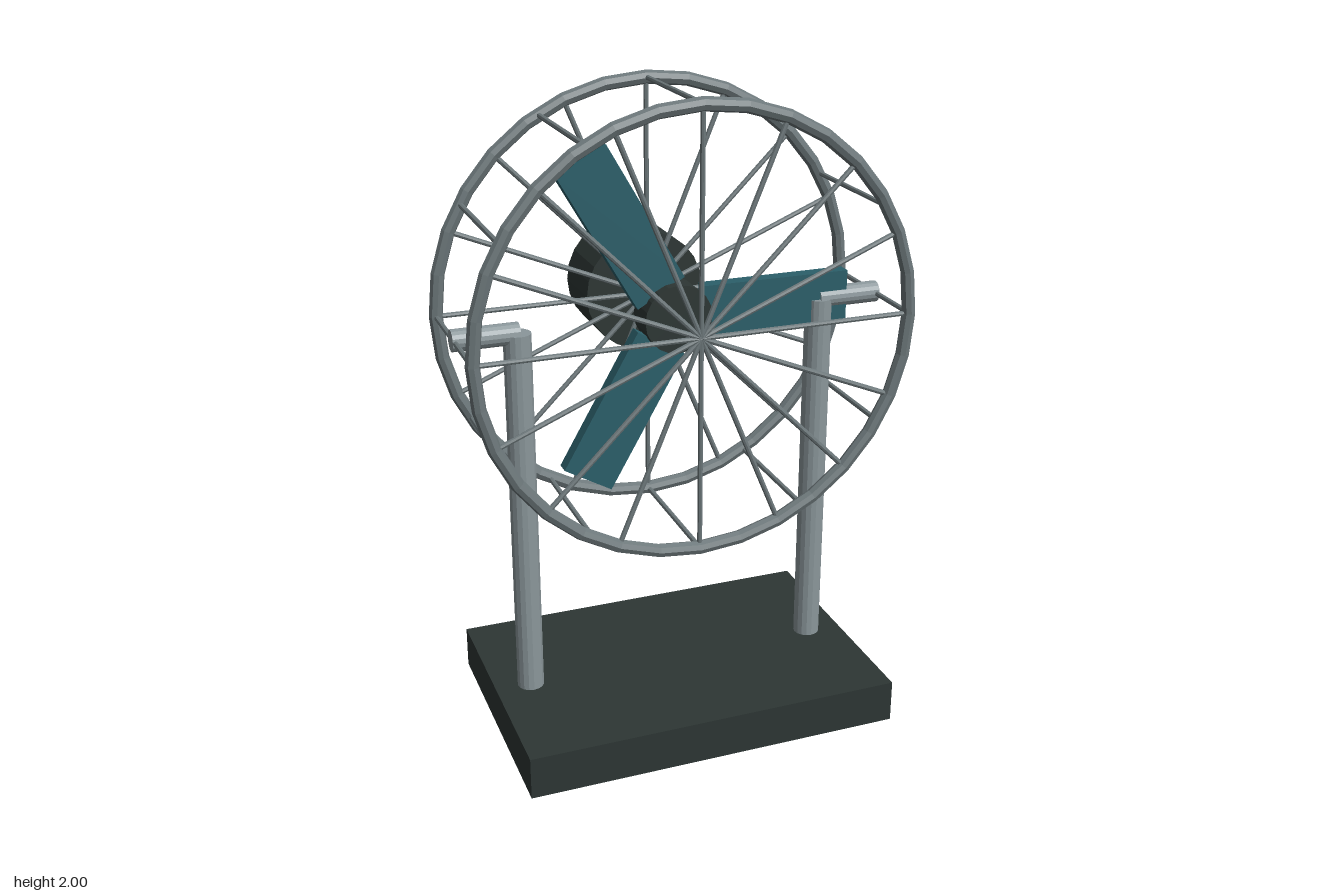
import * as THREE from 'three';

const HUB_Y = 1.31, MID_Z = 0.03, RING_R = 0.668, RING_GAP = 0.23;

function material(name, color) {
  const m = new THREE.MeshStandardMaterial({ color, flatShading: true });
  m.name = name;
  return m;
}

export function createModel() {
  const dark = material('dark housing', 0x2d3634);
  const steel = material('light steel', 0x8b979b);
  const wire = material('grey wire', 0x6c777a);
  const teal = material('teal blade', 0x2b5f6a);

  const model = new THREE.Group();
  model.name = 'cageFan';

  function add(parent, name, geometry, mat, x = 0, y = 0, z = 0) {
    const mesh = new THREE.Mesh(geometry, mat);
    mesh.name = name;
    mesh.position.set(x, y, z);
    parent.add(mesh);
    return mesh;
  }
  const rod = (r, length, sides) => new THREE.CylinderGeometry(r, r, length, sides);

  // Base and the two upright posts with their side pins
  add(model, 'base', new THREE.BoxGeometry(1.19, 0.135, 0.8), dark, 0, 0.0675, MID_Z);
  for (const s of [-1, 1]) {
    const side = s > 0 ? 'left' : 'right';
    add(model, side + 'Post', rod(0.042, HUB_Y - 0.13, 16), steel, s * 0.481, (HUB_Y + 0.13) / 2, MID_Z);
    add(model, side + 'Pin', rod(0.033, 0.2, 16).rotateZ(Math.PI / 2), steel, s * 0.576, HUB_Y, MID_Z);
  }

  // Everything turning about the z axis sits in one group at the hub
  const head = new THREE.Group();
  head.name = 'fanHead';
  head.position.set(0, HUB_Y, MID_Z);
  model.add(head);

  // Motor, shaft and hub
  add(head, 'motor', rod(0.19, 0.21, 24).rotateX(Math.PI / 2), dark, 0, 0, -0.355);
  add(head, 'shaft', rod(0.039, 0.25, 16).rotateX(Math.PI / 2), steel, 0, 0, -0.145);
  add(head, 'hub', rod(0.106, 0.106, 20).rotateX(Math.PI / 2), dark);

  // Three flat blades
  for (let i = 0; i < 3; i++) {
    const blade = new THREE.BoxGeometry(0.475, 0.17, 0.045).translate(0.3275, 0, 0);
    add(head, 'blade', blade, teal).rotation.z = i * Math.PI * 2 / 3;
  }

  // Front and back cage rings with spokes
  for (const s of [-1, 1]) {
    const guard = new THREE.Group();
    guard.name = s > 0 ? 'frontGuard' : 'backGuard';
    guard.position.z = s * RING_GAP;
    head.add(guard);
    add(guard, 'ring', new THREE.TorusGeometry(RING_R, 0.021, 8, 32), wire);
    for (let i = 0; i < 16; i++) {
      const spoke = rod(0.008, RING_R, 8).translate(0, RING_R / 2, 0);
      add(guard, 'spoke', spoke, wire).rotation.z = i * Math.PI / 8;
    }
  }

  // Crossbars joining the two rings
  for (let i = 0; i < 12; i++) {
    const a = i * Math.PI / 6;
    add(head, 'crossbar', rod(0.008, RING_GAP * 2, 8).rotateX(Math.PI / 2), wire,
      RING_R * Math.cos(a), RING_R * Math.sin(a), 0);
  }
  return model;
}
